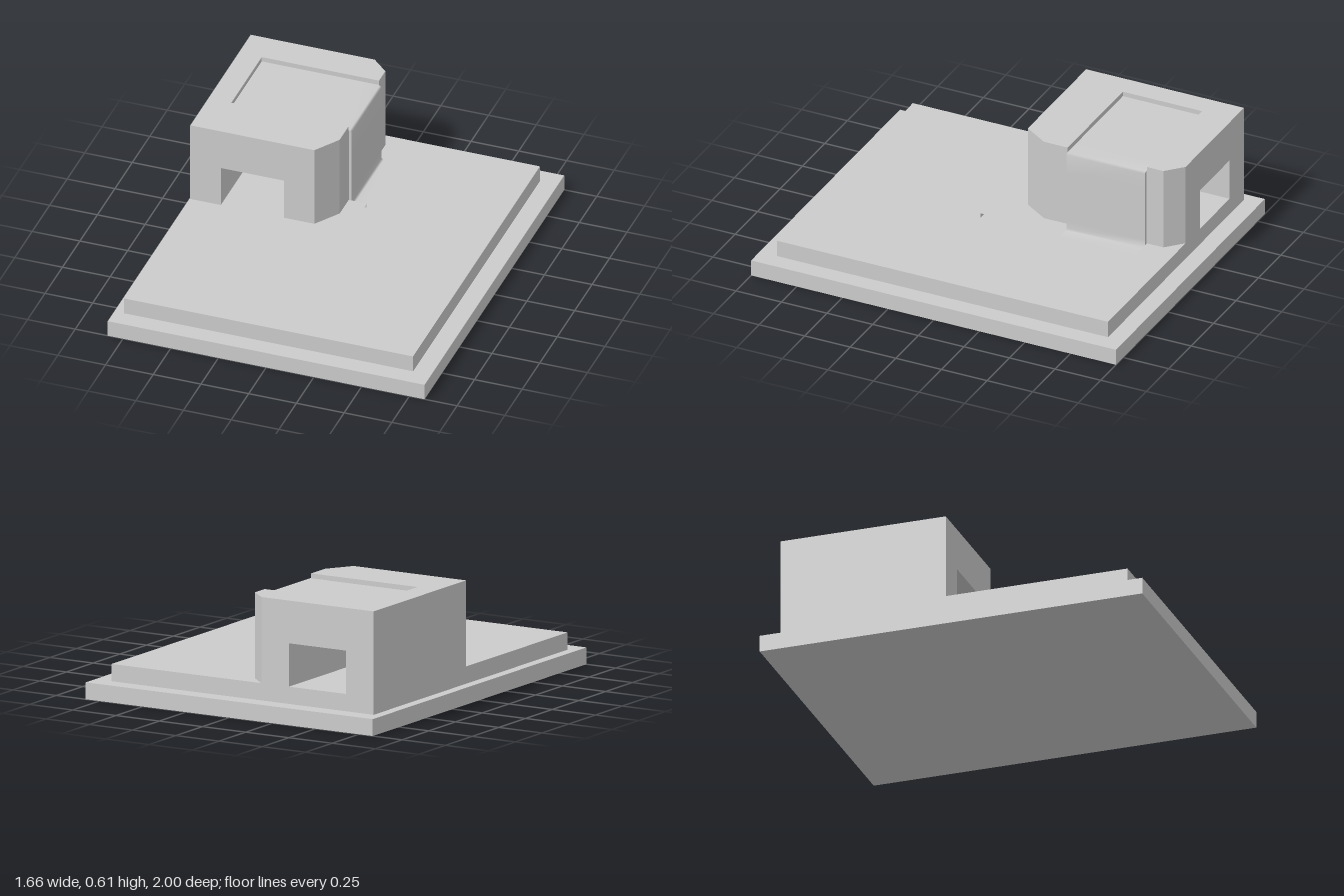
import * as THREE from 'three';

const material = new THREE.MeshStandardMaterial({ color: 0xcccccc });
const sheetMaterial = new THREE.MeshStandardMaterial({ color: 0xcccccc, side: THREE.DoubleSide });

// Heights of the stacked layers
const BASE = 0.085, BED = 0.147, GROUND = 0.172, ARCH = 0.39, CHANNEL = 0.58, TOP = 0.605;
// Stream edges where it leaves the block
const Z0 = -0.74, Z1 = -0.305;

const toPoints = (plan) => plan.map(([x, z]) => new THREE.Vector2(x, -z));

// Extrudes an [x, z] outline upward from y0 to y1
function layer(name, plan, y0, y1, hole) {
  const shape = new THREE.Shape(toPoints(plan));
  if (hole) shape.holes.push(new THREE.Path(toPoints(hole)));
  const geometry = new THREE.ExtrudeGeometry(shape, { depth: y1 - y0, bevelEnabled: false });
  geometry.rotateX(-Math.PI / 2).translate(0, y0, 0);
  const mesh = new THREE.Mesh(geometry, material);
  mesh.name = name;
  return mesh;
}

const rect = (x0, x1, z0, z1) => [[x0, z0], [x1, z0], [x1, z1], [x0, z1]];

// Smooth sheet of water falling over the block edge, with closed sides
function waterfall() {
  const group = new THREE.Group();
  group.name = 'waterfall';
  const profile = [[-0.15, CHANNEL + 0.001], [-0.04, CHANNEL + 0.001], [-0.03, 0.572],
    [-0.03, 0.46], [-0.03, 0.2], [-0.03, 0.155], [-0.02, BED + 0.001], [0.05, BED + 0.001]];
  const z0 = Z0 + 0.004, z1 = Z1 - 0.001;
  const positions = [], index = [];
  profile.forEach(([x, y], i) => {
    positions.push(x, y, z1, x, y, z0);
    if (i) {
      const a = 2 * i - 2;
      index.push(a, a + 2, a + 1, a + 1, a + 2, a + 3);
    }
  });
  const geometry = new THREE.BufferGeometry();
  geometry.setAttribute('position', new THREE.Float32BufferAttribute(positions, 3));
  geometry.setIndex(index);
  geometry.computeVertexNormals();
  const sheet = new THREE.Mesh(geometry, sheetMaterial);
  sheet.name = 'waterSheet';
  group.add(sheet);
  const side = new THREE.Shape(profile.slice(1, 7).map(([x, y]) => new THREE.Vector2(x, y)));
  side.lineTo(-0.05, BED);
  side.lineTo(-0.05, CHANNEL);
  for (const z of [z0, z1]) {
    const cheek = new THREE.Mesh(new THREE.ShapeGeometry(side), sheetMaterial);
    cheek.name = 'waterSide';
    cheek.position.z = z;
    group.add(cheek);
  }
  return group;
}

export function createModel() {
  const model = new THREE.Group();
  model.name = 'streamDiorama';

  // Plinth and ground with the sunken river bed
  const ground = rect(-0.78, 0.735, -0.91, 0.905);
  const river = [[-0.045, Z0], [0.05, Z0], [0.3, -0.83], [0.555, Z0], [0.555, 0.475], [0.3, 0.82],
    [0.05, 0.475], [-0.56, 0.475], [-0.56, 0.125], [0.05, 0.125], [0.05, Z1], [-0.045, Z1]];
  model.add(layer('plinth', rect(-0.83, 0.83, -1, 1), 0, BASE));
  model.add(layer('riverBed', ground, BASE, BED));
  model.add(layer('ground', ground, BED, GROUND, river));

  // Raised block: two piers, a solid deck, and a rim around the channel
  const corners = [[-0.13, -0.91], [-0.045, -0.83], [-0.045, -0.175], [-0.13, -0.045]];
  const block = new THREE.Group();
  block.name = 'raisedBlock';
  block.add(layer('outerPier', rect(-0.78, -0.62, -0.91, -0.045), GROUND, ARCH));
  block.add(layer('innerPier', [[-0.29, -0.91], ...corners, [-0.29, -0.045]], GROUND, ARCH));
  block.add(layer('deck', [[-0.78, -0.91], ...corners, [-0.78, -0.045]], ARCH, CHANNEL));
  block.add(layer('channelRim', [[-0.78, -0.91], corners[0], corners[1],
    [-0.045, Z0], [-0.66, Z0], [-0.66, Z1], [-0.045, Z1],
    corners[2], corners[3], [-0.78, -0.045]], CHANNEL, TOP));
  model.add(block);

  model.add(waterfall());
  return model;
}
